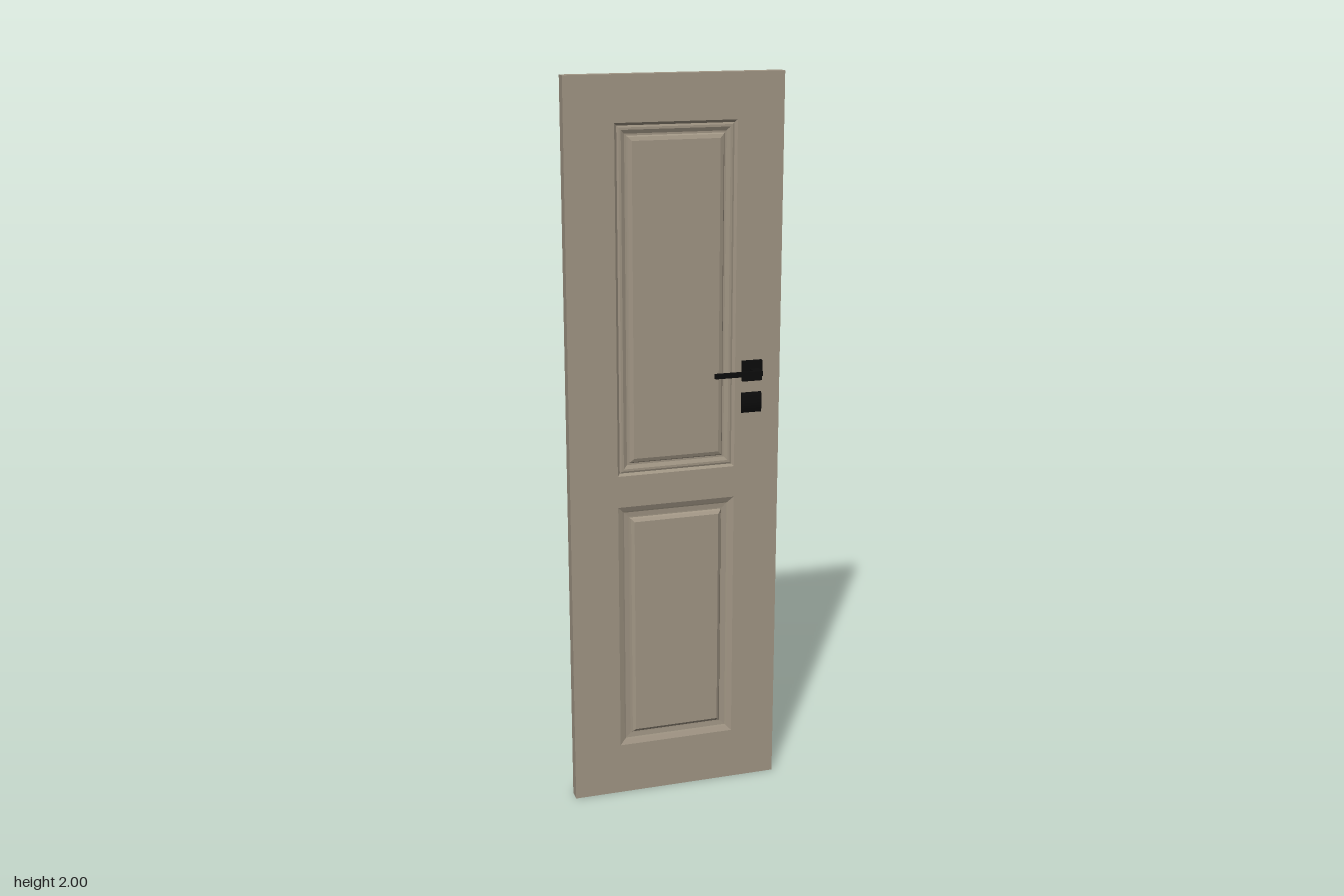
import * as THREE from 'three';

const paint = new THREE.MeshStandardMaterial({ color: 0xa09584 });
paint.name = 'taupe paint';
const black = new THREE.MeshStandardMaterial({ color: 0x0b0b0b });
black.name = 'black metal';

const W = 0.588, H = 2, HALF = 0.017;
const panels = [
  { name: 'upperPanel', x0: -0.162, x1: 0.167, y0: 0.945, y1: 1.88,
    profile: [[0, 0], [0.007, -0.006], [0.012, -0.004], [0.018, -0.004], [0.028, -0.009], [0.033, -0.009], [0.036, -0.005], [0.046, -0.001]] },
  { name: 'lowerPanel', x0: -0.162, x1: 0.167, y0: 0.147, y1: 0.857,
    profile: [[0, 0], [0.014, -0.006], [0.018, -0.008], [0.031, -0.009], [0.034, -0.009], [0.037, -0.004], [0.045, 0.002]] },
];

// Nested rectangles stepping in and out of the door face, closed by a flat field
function panelGeometry({ x0, x1, y0, y1, profile }, lift) {
  const rings = profile.map(([i, d]) => {
    const z = HALF + Math.min(d, lift);
    return [[x0 + i, y0 + i, z], [x1 - i, y0 + i, z], [x1 - i, y1 - i, z], [x0 + i, y1 - i, z]];
  });
  const pos = [];
  const quad = (a, b, c, d) => pos.push(...a, ...b, ...c, ...a, ...c, ...d);
  for (let r = 0; r < rings.length - 1; r++) {
    for (let k = 0; k < 4; k++) {
      const n = (k + 1) % 4;
      quad(rings[r][k], rings[r][n], rings[r + 1][n], rings[r + 1][k]);
    }
  }
  quad(...rings[rings.length - 1]);
  const g = new THREE.BufferGeometry();
  g.setAttribute('position', new THREE.Float32BufferAttribute(pos, 3));
  g.computeVertexNormals();
  return g;
}

function rectangle(path, x0, y0, x1, y1) {
  path.moveTo(x0, y0).lineTo(x1, y0).lineTo(x1, y1).lineTo(x0, y1).closePath();
  return path;
}

function add(parent, name, geometry, material, x = 0, y = 0, z = 0) {
  const mesh = new THREE.Mesh(geometry, material);
  mesh.name = name;
  mesh.position.set(x, y, z);
  parent.add(mesh);
  return mesh;
}

// Lever, roses and lock cover for the +z side
function hardware() {
  const g = new THREE.Group();
  add(g, 'handleRose', new THREE.BoxGeometry(0.056, 0.056, 0.01), black, 0.213, 1.213, 0.022);
  add(g, 'handleNeck', new THREE.BoxGeometry(0.025, 0.013, 0.036), black, 0.2185, 1.213, 0.044);
  add(g, 'handleLever', new THREE.BoxGeometry(0.134, 0.013, 0.009), black, 0.164, 1.213, 0.0575);

  // Gently bowed lock cover
  const s = new THREE.Shape();
  s.moveTo(0.017, -0.028).lineTo(0.021, -0.028);
  s.quadraticCurveTo(0.033, 0, 0.021, 0.028);
  s.lineTo(0.017, 0.028).closePath();
  const cover = new THREE.ExtrudeGeometry(s, { depth: 0.056, bevelEnabled: false, curveSegments: 8 });
  cover.rotateY(-Math.PI / 2);
  add(g, 'lockCover', cover, black, 0.241, 1.124, 0);
  return g;
}

export function createModel() {
  const door = new THREE.Group();
  door.name = 'door';

  // Slab with an opening for each panel
  const outline = rectangle(new THREE.Shape(), -W / 2, 0, W / 2, H);
  for (const p of panels) outline.holes.push(rectangle(new THREE.Path(), p.x0, p.y0, p.x1, p.y1));
  const slab = new THREE.ExtrudeGeometry(outline, { depth: HALF * 2, bevelEnabled: false });
  add(door, 'doorSlab', slab, paint, 0, 0, -HALF);

  // Moulded panels on both faces; only the front field stands proud
  for (const p of panels) {
    add(door, p.name + 'Front', panelGeometry(p, 1), paint);
    const back = { ...p, x0: -p.x1, x1: -p.x0 };
    add(door, p.name + 'Back', panelGeometry(back, -0.0005), paint).rotation.y = Math.PI;
  }

  // Handles on both faces
  const front = hardware();
  front.name = 'frontHandle';
  const rear = hardware();
  rear.name = 'backHandle';
  rear.scale.z = -1;
  door.add(front, rear);
  return door;
}
